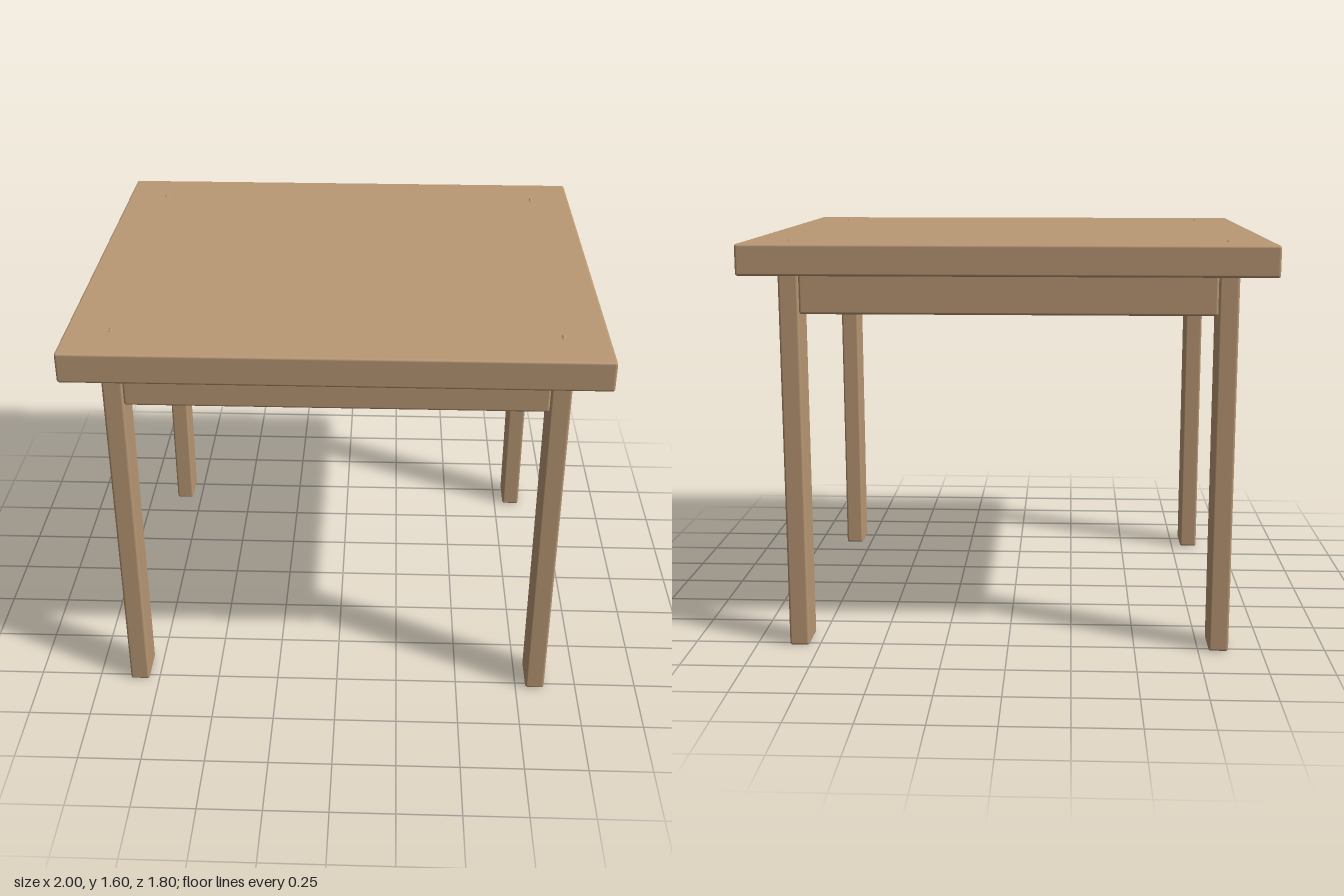
import * as THREE from 'three';
import { RoundedBoxGeometry } from 'three/addons/geometries/RoundedBoxGeometry.js';

const wood = new THREE.MeshStandardMaterial({ color: 0xb99874 });

// Board with softened edges, placed by its centre
function board(name, [w, h, d], [x, y, z], radius = 0.01) {
  const mesh = new THREE.Mesh(new RoundedBoxGeometry(w, h, d, 3, radius), wood);
  mesh.name = name;
  mesh.position.set(x, y, z);
  return mesh;
}

export function createModel() {
  const table = new THREE.Group();
  table.name = 'table';

  const underside = 1.482, topY = 1.6;
  const legW = 0.078, legD = 0.156;   // leg section, also the apron section
  const legX = 0.83, legZ = 0.70;     // leg centres

  // Table top
  table.add(board('tableTop', [2, topY - underside, 1.8], [0, (topY + underside) / 2, 0]));

  for (const sx of [-1, 1]) {
    for (const sz of [-1, 1]) {
      const corner = (sz > 0 ? 'front' : 'back') + (sx > 0 ? 'Left' : 'Right');
      // Leg
      table.add(board(corner + 'Leg', [legW, underside, legD], [sx * legX, underside / 2, sz * legZ]));
      // Small peg showing through the top above the leg
      table.add(board(corner + 'Peg', [0.014, 0.024, 0.034], [sx * legX, topY - 0.008, sz * legZ], 0.005));
    }
  }

  // Aprons between the legs, flush with their outer faces
  const apronY = underside - legD / 2;
  const longSpan = 2 * (legX - legW / 2), shortSpan = 2 * (legZ - legD / 2);
  const apronZ = legZ + (legD - legW) / 2;
  for (const s of [-1, 1]) {
    table.add(board(s > 0 ? 'frontApron' : 'backApron', [longSpan, legD, legW], [0, apronY, s * apronZ]));
    table.add(board(s > 0 ? 'leftApron' : 'rightApron', [legW, legD, shortSpan], [s * legX, apronY, 0]));
  }

  return table;
}
